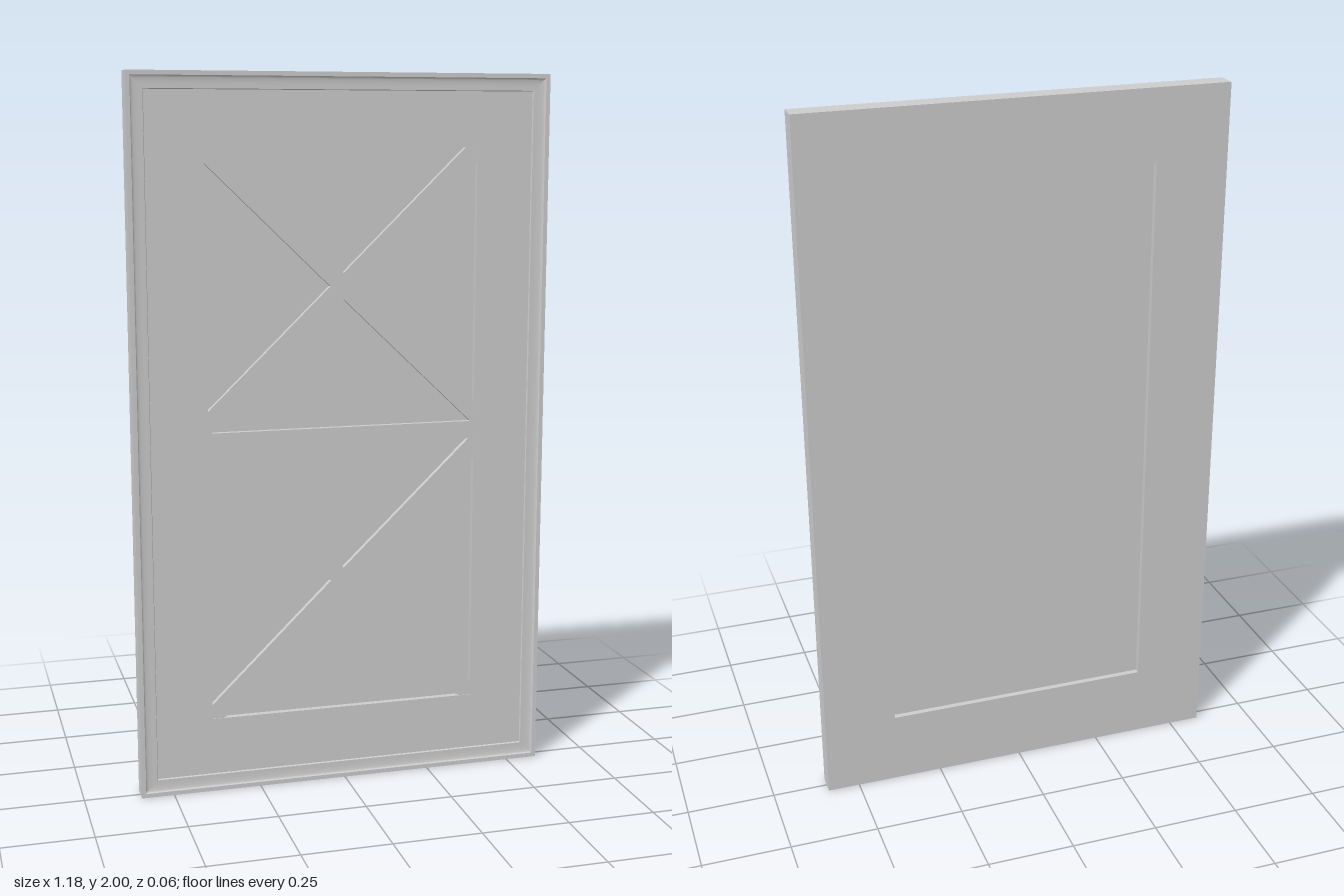
import * as THREE from 'three';

const W = 0.592, H = 2, BACK = -0.03, FACE = 0.018, LIP = 0.03;
const OPEN = { x: 0.385, bottom: 0.21, top: 1.8 };

const rect = (x, y0, y1) => [[-x, y0], [x, y0], [x, y1], [-x, y1]].map(p => new THREE.Vector2(...p));

export function createModel() {
  const group = new THREE.Group();
  const material = new THREE.MeshStandardMaterial({ color: 0xcccccc });
  const add = (name, geometry) => {
    const mesh = new THREE.Mesh(geometry, material);
    mesh.name = name;
    group.add(mesh);
    return mesh;
  };
  const slab = (shape, z0, z1) =>
    new THREE.ExtrudeGeometry(shape, { depth: z1 - z0, bevelEnabled: false }).translate(0, 0, z0);

  // Wide frame around the central opening
  const frame = new THREE.Shape(rect(W, 0, H));
  frame.holes.push(new THREE.Path(rect(OPEN.x, OPEN.bottom, OPEN.top)));
  add('frame', slab(frame, BACK, FACE));

  // Raised edge moulding: a [inset, z] profile with a cove, mitred round the door
  const profile = [[0, FACE], [0, LIP], [0.012, LIP], [0.014, 0.027]];
  for (let i = 1; i <= 6; i++) {
    const a = (i / 6) * Math.PI / 2;
    profile.push([0.014 + 0.024 * (1 - Math.cos(a)), 0.027 - 0.004 * Math.sin(a)]);
  }
  profile.push([0.046, 0.023], [0.048, FACE]);
  add('edgeMoulding', mitredRing(profile));

  // Recessed centre panel
  add('centrePanel', slab(new THREE.Shape(rect(OPEN.x, OPEN.bottom, OPEN.top)), -0.014, 0));

  // Crossed bars: outline of an X clipped to its half of the opening
  const cross = (name, cy, top, bottom, topX, bottomX, sideTop, sideBottom) => {
    const x = OPEN.x;
    const right = [
      [0, cy - 0.037], [bottomX, bottom], [x, bottom], [x, sideBottom],
      [0.038, cy], [x, sideTop], [x, top], [topX, top], [0, cy + 0.036],
    ];
    const left = right.slice(1, -1).reverse().map(([px, py]) => [-px, py]);
    const shape = new THREE.Shape([...right, ...left].map(p => new THREE.Vector2(...p)));
    add(name, slab(shape, 0, 0.016));
  };
  cross('upperCrossBars', 1.425, OPEN.top, 1.03, 0.35, 0.375, 1.76, 1.09);
  cross('lowerCrossBars', 0.588, 0.98, OPEN.bottom, 0.37, 0.35, 0.92, 0.25);

  // Horizontal bar between the crosses
  add('middleBar', new THREE.BoxGeometry(OPEN.x * 2, 0.05, 0.016)).position.set(0, 1.005, 0.008);

  return group;
}

// Sweeps an [inset, z] profile round the door outline with mitred corners
function mitredRing(profile) {
  const rings = profile.map(([inset, z]) =>
    rect(W - inset, inset, H - inset).map(p => [p.x, p.y, z]));
  const positions = [];
  for (let j = 0; j < rings.length - 1; j++) {
    for (let k = 0; k < 4; k++) {
      const n = (k + 1) % 4;
      const [a, b, c, d] = [rings[j][k], rings[j][n], rings[j + 1][n], rings[j + 1][k]];
      positions.push(...a, ...b, ...c, ...a, ...c, ...d);
    }
  }
  const geometry = new THREE.BufferGeometry();
  geometry.setAttribute('position', new THREE.Float32BufferAttribute(positions, 3));
  geometry.computeVertexNormals();
  return geometry;
}
